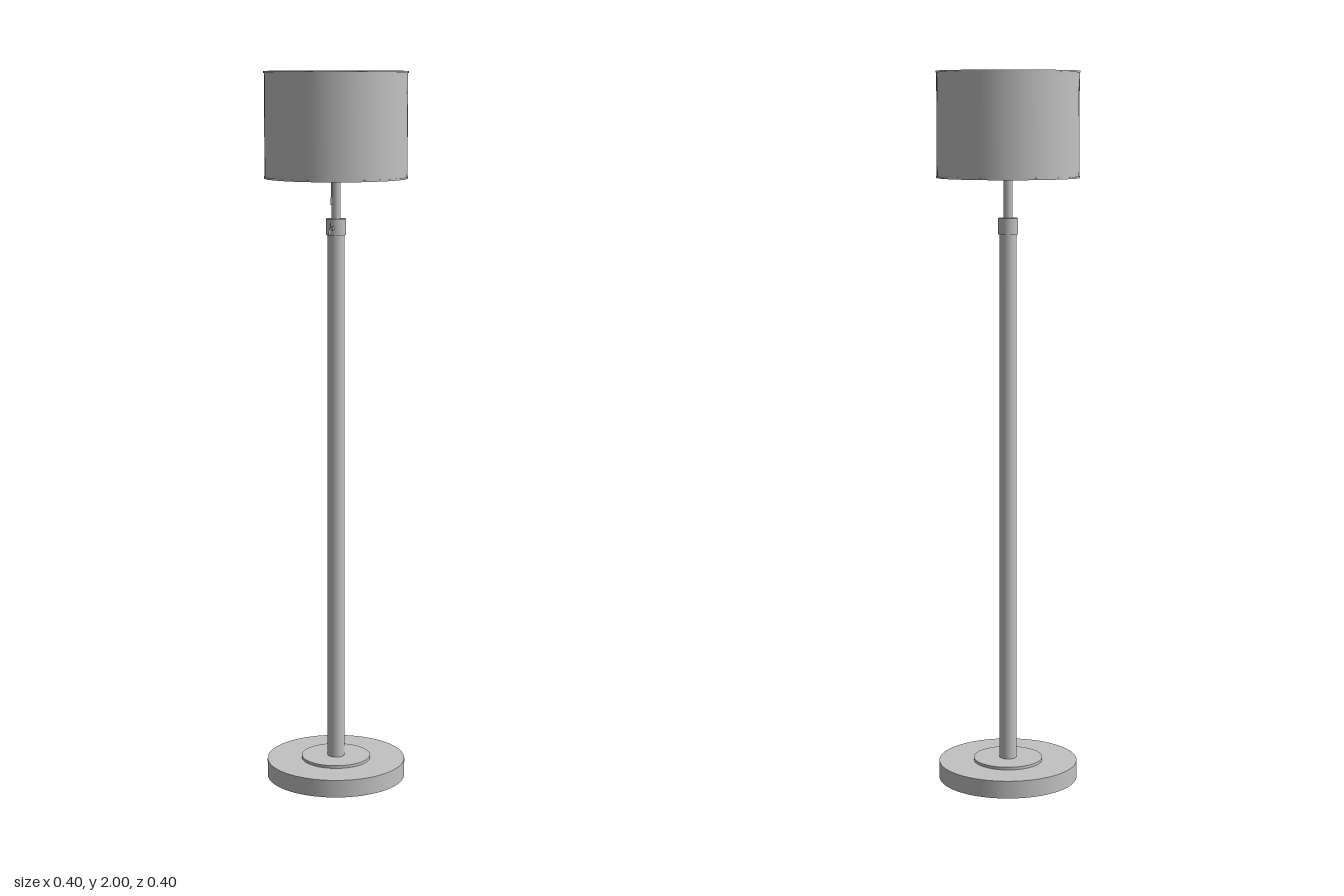
import * as THREE from 'three';
import { toCreasedNormals } from 'three/addons/utils/BufferGeometryUtils.js';

export function createModel() {
  const lamp = new THREE.Group();
  lamp.name = 'floorLamp';
  const metal = new THREE.MeshStandardMaterial({ name: 'lightGrey', color: 0xc2c2c2 });

  const add = (name, geometry, x = 0, y = 0, z = 0, parent = lamp) => {
    const mesh = new THREE.Mesh(geometry, metal);
    mesh.name = name;
    mesh.position.set(x, y, z);
    parent.add(mesh);
    return mesh;
  };
  // Upright cylinder between two heights
  const column = (name, radius, y0, y1, sides = 48, z = 0) =>
    add(name, new THREE.CylinderGeometry(radius, radius, y1 - y0, sides), 0, (y0 + y1) / 2, z);

  // Foot and pole
  column('base', 0.197, 0, 0.05, 64);
  column('basePlate', 0.098, 0.05, 0.058, 64);
  column('pole', 0.024, 0.058, 1.56, 32);
  column('collar', 0.028, 1.555, 1.6, 32);
  column('innerRod', 0.013, 1.6, 1.81, 24);

  // Hollow drum shade with slim rims, open at both ends
  const profile = [
    [0.198, 1.71], [0.198, 1.715], [0.196, 1.715], [0.196, 1.995],
    [0.198, 1.995], [0.198, 2], [0.188, 2], [0.188, 1.71], [0.198, 1.71],
  ].map(([r, y]) => new THREE.Vector2(r, y));
  add('shade', toCreasedNormals(new THREE.LatheGeometry(profile, 64), 0.5));

  // Four spokes carrying the shade, and the ball on the hub
  for (let i = 0; i < 4; i++) {
    const spoke = new THREE.Group();
    spoke.name = 'shadeSpoke';
    spoke.rotation.y = i * Math.PI / 2;
    const bar = add('spokeBar', new THREE.CylinderGeometry(0.006, 0.006, 0.19, 16), 0.095, 1.803, 0, spoke);
    bar.rotation.z = Math.PI / 2;
    lamp.add(spoke);
  }
  add('hubBall', new THREE.SphereGeometry(0.021, 32, 20), 0, 1.82, 0);

  // Pull cord hanging from the front spoke
  column('pullCord', 0.002, 1.645, 1.803, 10, 0.038);
  column('cordEnd', 0.0035, 1.64, 1.66, 12, 0.038);

  // Thumb screw on the collar, with two flared wings
  const screw = add('thumbScrew', new THREE.CylinderGeometry(0.005, 0.005, 0.022, 16), 0, 1.575, 0.034);
  screw.rotation.x = Math.PI / 2;
  for (const side of [-1, 1]) {
    const wing = add('screwWing', new THREE.SphereGeometry(0.01, 16, 12), side * 0.003, 1.575 + side * 0.01, 0.046);
    wing.scale.set(0.4, 1, 0.45);
    wing.rotation.x = side * 0.5;
  }
  return lamp;
}
